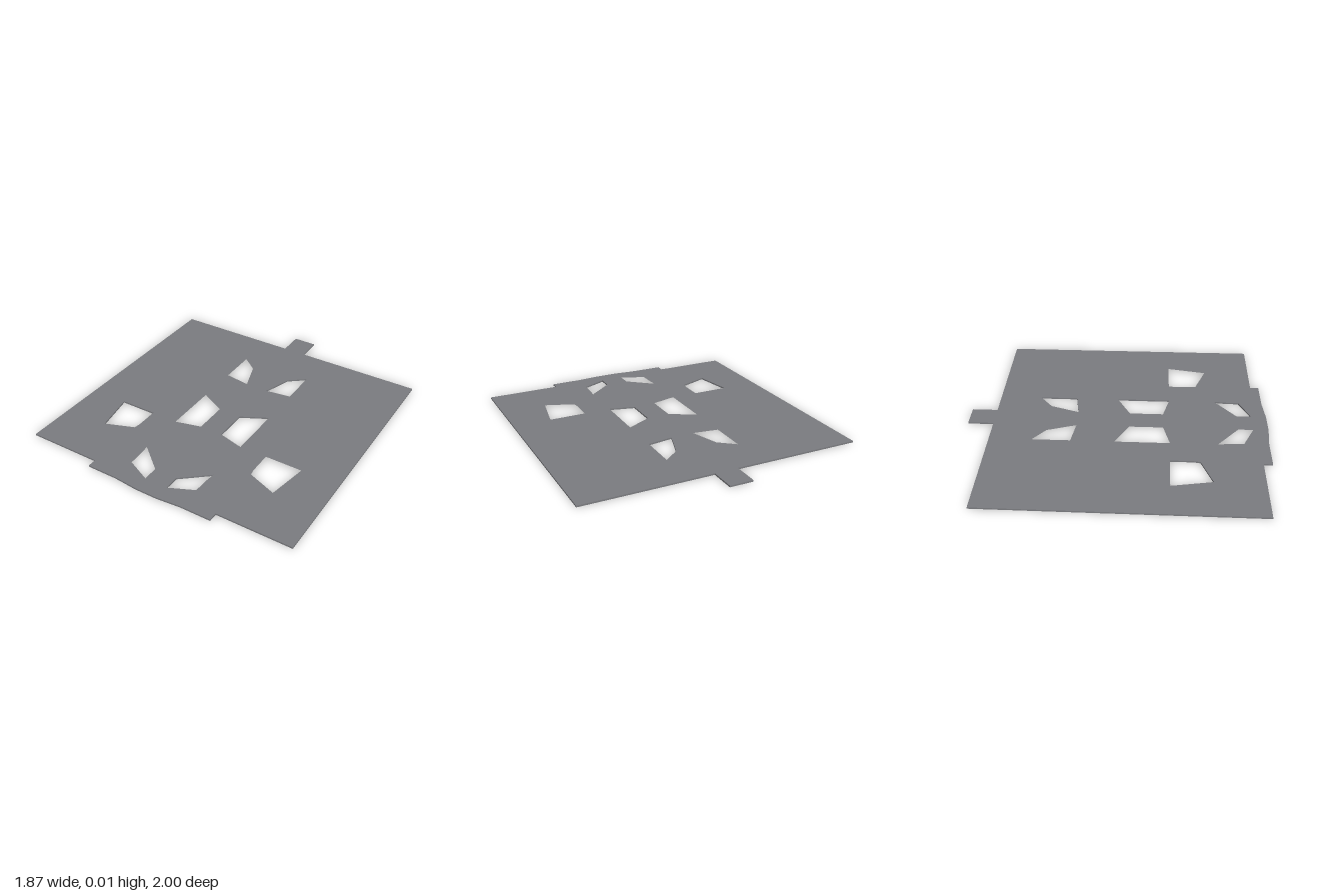
import * as THREE from 'three';

const THICKNESS = 0.01;

// Points are [x, z] for the +x half; z is flipped because the shape is laid flat.
const toVectors = (points, side = 1) => points.map(([x, z]) => new THREE.Vector2(side * x, -z));

// Half outline from the back tab round to the stepped front lip
const halfOutline = [
  [0.078, -1], [0.078, -0.83], [0.93, -0.83], [0.936, 0.928],
  [0.442, 0.928], [0.442, 0.986], [0.235, 0.986], [0.075, 1],
];

// Cut-outs on the +x half, mirrored to the other side
const halfCutouts = [
  [[0.25, -0.55], [0.143, -0.465], [0.078, -0.273], [0.25, -0.298]], // back
  [[0.25, -0.011], [0.078, 0.079], [0.078, 0.304], [0.25, 0.348]], // middle
  [[0.433, 0.346], [0.68, 0.346], [0.632, 0.609], [0.44, 0.537], [0.433, 0.495]], // outer
  [[0.25, 0.657], [0.078, 0.8], [0.078, 0.899], [0.239, 0.825], [0.242, 0.73]], // front
];

export function createModel() {
  const group = new THREE.Group();
  group.name = 'perforatedPanel';

  const shape = new THREE.Shape([
    ...toVectors(halfOutline),
    ...toVectors(halfOutline, -1).reverse(),
  ]);
  for (const cutout of halfCutouts) {
    for (const side of [1, -1]) shape.holes.push(new THREE.Path(toVectors(cutout, side)));
  }

  // Thin flat plate lying on the ground
  const geometry = new THREE.ExtrudeGeometry(shape, { depth: THICKNESS, bevelEnabled: false });
  geometry.rotateX(-Math.PI / 2);

  // Dark slate grey
  const plate = new THREE.Mesh(geometry, new THREE.MeshStandardMaterial({ color: 0x7c7d81 }));
  plate.name = 'plate';
  group.add(plate);
  return group;
}
